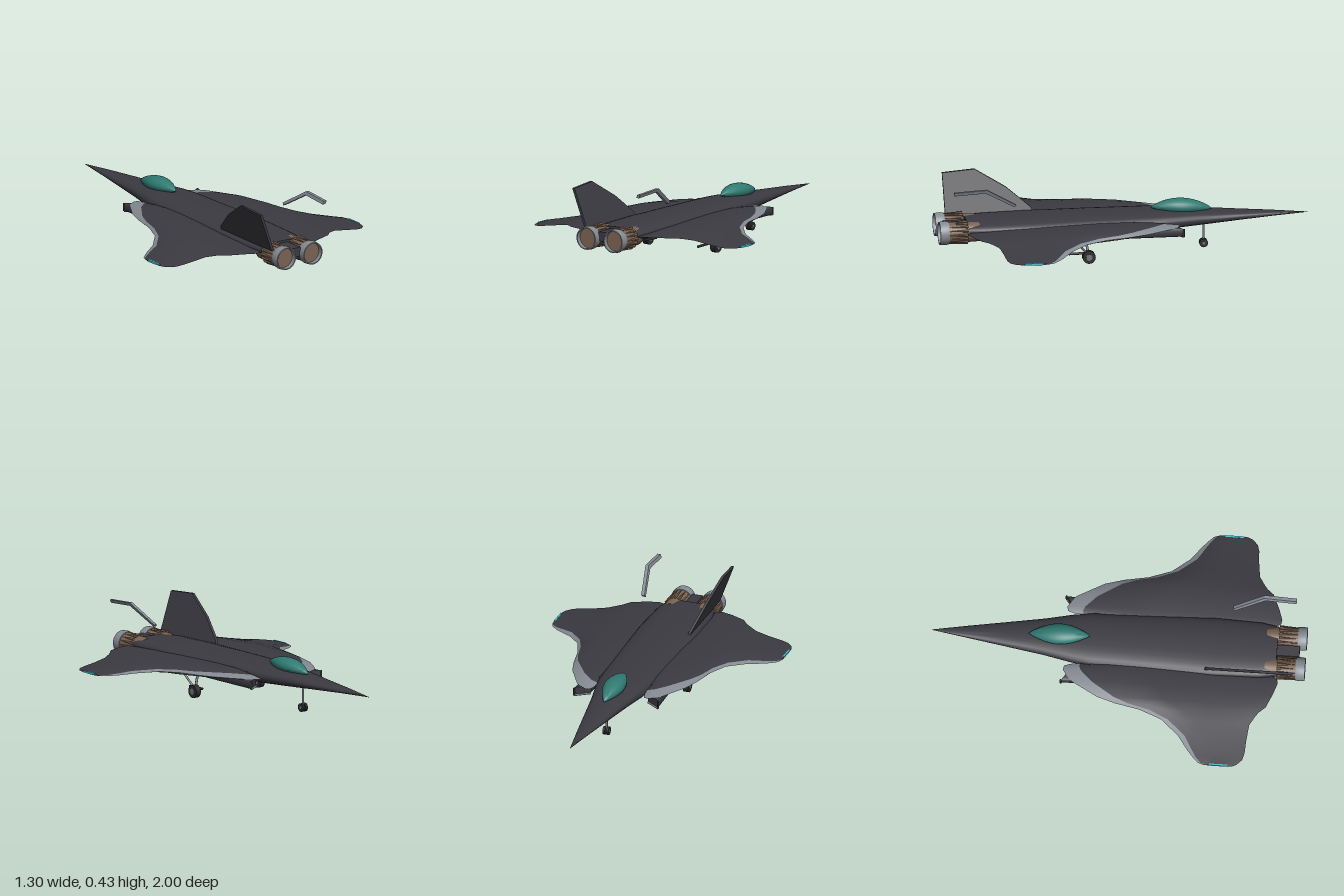
import * as THREE from 'three';
import { toCreasedNormals } from 'three/addons/utils/BufferGeometryUtils.js';

const mat = (name, color) => Object.assign(new THREE.MeshStandardMaterial({ color }), { name });
const hull = mat('hull charcoal', 0x3b3a41);
const trim = mat('edge grey', 0x858b93);
const bronze = mat('nozzle bronze', 0x7a6352);
const glass = mat('canopy teal', 0x2f7a72);
const light = mat('light cyan', 0x3fc4d4);
const rubber = mat('tyre black', 0x2b2b2e);
const metal = mat('strut grey', 0x73767c);

// Skin over a row of equal cross-sections, each an array of [x, y, z]
function loft(rings, closed = true) {
  const n = rings[0].length, pos = rings.flat(2), idx = [];
  for (let i = 0; i < rings.length - 1; i++) {
    for (let j = 0; j < (closed ? n : n - 1); j++) {
      const k = (j + 1) % n, a = i * n + j, b = i * n + k;
      idx.push(a, b, a + n, b, b + n, a + n);
    }
  }
  if (closed) {
    const last = (rings.length - 1) * n;
    for (let j = 1; j < n - 1; j++) idx.push(0, j + 1, j, last, last + j, last + j + 1);
  }
  const g = new THREE.BufferGeometry();
  g.setAttribute('position', new THREE.Float32BufferAttribute(pos, 3));
  g.setIndex(idx);
  return toCreasedNormals(g, 0.7);
}

// Mirror across x and restore the corner order
function mirrored(geo) {
  const g = (geo.index ? geo.toNonIndexed() : geo.clone()).scale(-1, 1, 1);
  for (const at of Object.values(g.attributes)) {
    const s = at.itemSize;
    for (let i = 0; i < at.count; i += 3) {
      for (let c = 0; c < s; c++) {
        const p = (i + 1) * s + c, q = (i + 2) * s + c;
        [at.array[p], at.array[q]] = [at.array[q], at.array[p]];
      }
    }
  }
  return g;
}

// Oval section across z
const oval = (z, cx, w, top, bot, n = 28, p = 0.8, skew = 0) =>
  Array.from({ length: n }, (_, j) => {
    const a = (j / n) * Math.PI * 2, s = Math.sin(a), c = Math.cos(a);
    const x = Math.sign(c) * Math.abs(c) ** p * w;
    return [cx + x, (top + bot) / 2 + Math.sign(s) * Math.abs(s) ** p * (top - bot) / 2, z + skew * x];
  });

// Thin sloping plate drawn in (z, y), leaning outward with height
function finPlate(points, thick) {
  const g = new THREE.ExtrudeGeometry(new THREE.Shape(points.map(p => new THREE.Vector2(...p))),
    { depth: thick, bevelEnabled: false });
  const a = g.attributes.position;
  for (let i = 0; i < a.count; i++) {
    const z = a.getX(i), y = a.getY(i), t = a.getZ(i) - thick / 2;
    a.setXYZ(i, -(0.134 + (y - 0.21) * 0.36) - t, y, z);
  }
  g.computeVertexNormals();
  return g;
}

function rod(a, b, r) {
  const A = new THREE.Vector3(...a), B = new THREE.Vector3(...b), d = B.clone().sub(A);
  const g = new THREE.CylinderGeometry(r, r, d.length(), 10);
  g.applyQuaternion(new THREE.Quaternion().setFromUnitVectors(new THREE.Vector3(0, 1, 0), d.normalize()));
  const m = A.add(B).multiplyScalar(0.5);
  return g.translate(m.x, m.y, m.z);
}

const wheel = (x, y, z, r, w) => new THREE.CylinderGeometry(r, r, w, 20).rotateZ(Math.PI / 2).translate(x, y, z);

export function createModel() {
  const group = new THREE.Group();
  const add = (name, geo, material) => {
    const m = new THREE.Mesh(geo, material);
    m.name = name;
    group.add(m);
  };
  const pair = (name, geo, material) => {
    add(name + 'Left', geo, material);
    add(name + 'Right', mirrored(geo), material);
  };

  // Fuselage: z, half width, top, bottom
  const body = [
    [-1, 0.001, 0.171, 0.169], [-0.8, 0.035, 0.186, 0.16], [-0.6, 0.068, 0.198, 0.148],
    [-0.4, 0.101, 0.212, 0.135], [-0.25, 0.133, 0.22, 0.128], [-0.15, 0.147, 0.222, 0.125],
    [0.2, 0.157, 0.223, 0.125], [0.5, 0.165, 0.221, 0.13], [0.75, 0.156, 0.217, 0.136], [0.84, 0.14, 0.212, 0.14],
  ];
  add('fuselage', loft(body.map(([z, w, t, b]) => oval(z, 0, w, t, b))), hull);
  add('tailBoom', new THREE.BoxGeometry(0.06, 0.05, 0.16).translate(0, 0.175, 0.88), hull);

  // Canopy
  const canopy = [];
  for (let i = 0; i <= 20; i++) {
    const t = i / 20, s = Math.sin(Math.PI * t) ** 0.9;
    const y = 0.212 + 0.018 * t;
    canopy.push(oval(-0.485 + 0.33 * t, 0, 0.0005 + 0.056 * s, y + 0.001 + 0.053 * s ** 0.8, y - 0.03 * s, 24, 1));
  }
  add('canopy', loft(canopy), glass);

  // Wings: x, leading edge z, strip end z, trailing edge z, mid height, half thickness
  const wing = [
    [0.14, -0.24, -0.2, 0.82, 0.172, 0.024], [0.155, -0.285, -0.205, 0.85, 0.173, 0.025],
    [0.18, -0.29, -0.195, 0.855, 0.174, 0.026], [0.24, -0.245, -0.135, 0.835, 0.176, 0.026],
    [0.32, -0.1, -0.01, 0.8, 0.175, 0.024], [0.35, 0, 0.07, 0.765, 0.172, 0.022],
    [0.375, 0.13, 0.18, 0.747, 0.169, 0.02], [0.42, 0.25, 0.285, 0.72, 0.162, 0.017],
    [0.5, 0.345, 0.38, 0.71, 0.148, 0.013], [0.575, 0.4, 0.425, 0.705, 0.138, 0.01],
    [0.61, 0.43, 0.447, 0.695, 0.134, 0.008], [0.64, 0.46, 0.473, 0.665, 0.132, 0.006],
    [0.65, 0.49, 0.497, 0.64, 0.132, 0.005], [0.651, 0.5, 0.505, 0.63, 0.132, 0.0002],
  ];
  const half = t => (t < 0.25 ? Math.sin(t * 2 * Math.PI) : Math.cos((t - 0.25) / 0.75 * Math.PI / 2) ** 0.8);
  const at = ([x, zl, , zt, y, h], z, side) => [x, y + side * h * half((z - zl) / (zt - zl)), z];
  const mix = THREE.MathUtils.lerp, steps = [0, 0.15, 0.35, 0.6, 0.8, 1];
  add('wingSpar', new THREE.BoxGeometry(0.3, 0.03, 0.9).translate(0, 0.174, 0.3), hull);
  pair('wing', loft(wing.map(s => [
    ...steps.map(t => at(s, mix(s[2], s[3], t), 1)),
    ...steps.slice(0, -1).reverse().map(t => at(s, mix(s[2], s[3], t), -1)),
  ]), false), hull);
  const edge = [1, 0.6, 0.3, 0.1];
  pair('leadingEdge', loft(wing.map(s => [
    ...edge.map(t => at(s, mix(s[1], s[2], t), -1)), at(s, s[1], 0),
    ...edge.slice().reverse().map(t => at(s, mix(s[1], s[2], t), 1)),
  ]), false), trim);
  pair('tipLight', new THREE.BoxGeometry(0.009, 0.009, 0.1).translate(0.647, 0.134, 0.57), light);

  // Intake ducts under the wing roots
  const duct = [[-0.27, 0.2, 0.04, 0.175, 0.128, -0.7], [0.1, 0.19, 0.036, 0.176, 0.125, 0],
    [0.45, 0.18, 0.026, 0.172, 0.137, 0], [0.68, 0.17, 0.004, 0.168, 0.155, 0]];
  pair('intakeDuct', loft(duct.map(([z, x, w, t, b, k]) => oval(z, x, w, t, b, 20, 0.4, k))), hull);
  pair('intakeLip', rod([0.162, 0.13, -0.245], [0.238, 0.13, -0.298], 0.005), trim);
  pair('intakeSide', rod([0.238, 0.13, -0.298], [0.238, 0.172, -0.298], 0.005), hull);

  // Engine nozzles
  const lathe = pts => new THREE.LatheGeometry(pts.map(p => new THREE.Vector2(...p)), 32)
    .rotateX(Math.PI / 2).translate(0.086, 0.163, 0);
  pair('nozzle', toCreasedNormals(lathe([[0, 0.78], [0.05, 0.78], [0.053, 0.85], [0.058, 0.96]]), 0.6), bronze);
  pair('nozzleRim', toCreasedNormals(lathe([[0.054, 0.945], [0.061, 0.945], [0.064, 0.965], [0.061, 0.995],
    [0.055, 0.995], [0.054, 0.945]]), 0.6), trim);
  pair('exhaust', new THREE.CircleGeometry(0.056, 32).translate(0.086, 0.163, 0.97), bronze);
  for (let i = 0; i < 16; i++) {
    const a = (i / 16) * Math.PI * 2, c = Math.cos(a), s = Math.sin(a);
    const petal = new THREE.ConeGeometry(0.008, 0.12, 4).rotateX(Math.PI / 2);
    pair('nozzlePetal', petal.translate(0.086 + 0.057 * c, 0.163 + 0.057 * s, 0.905), bronze);
  }

  // Tail fin and the separate edge strip on the other side
  add('tailFin', finPlate([[0.46, 0.2], [0.93, 0.2], [0.935, 0.413], [0.76, 0.425], [0.595, 0.328], [0.47, 0.225]], 0.015), hull);
  add('finEdge', mirrored(finPlate([[0.595, 0.33], [0.605, 0.318], [0.765, 0.41], [0.93, 0.4],
    [0.932, 0.418], [0.758, 0.428]], 0.018)), trim);

  // Main landing gear
  pair('mainWheel', wheel(0.218, 0.036, 0.21, 0.035, 0.03), rubber);
  pair('mainHub', wheel(0.218, 0.036, 0.21, 0.017, 0.036), metal);
  pair('mainLeg', rod([0.182, 0.14, 0.225], [0.214, 0.04, 0.21], 0.007), metal);
  pair('mainBrace', rod([0.235, 0.125, 0.28], [0.214, 0.05, 0.215], 0.006), metal);
  pair('mainCrossbar', rod([0.178, 0.122, 0.22], [0.235, 0.125, 0.28], 0.006), metal);
  pair('mainRod', rod([0.165, 0.042, 0.21], [0.17, 0.042, 0.31], 0.007), rubber);

  // Nose gear
  pair('noseWheel', wheel(0.01, 0.025, -0.44, 0.023, 0.012), rubber);
  add('noseAxle', wheel(0, 0.025, -0.44, 0.008, 0.034), metal);
  add('noseLeg', rod([0, 0.025, -0.44], [0, 0.15, -0.44], 0.006), metal);
  return group;
}
